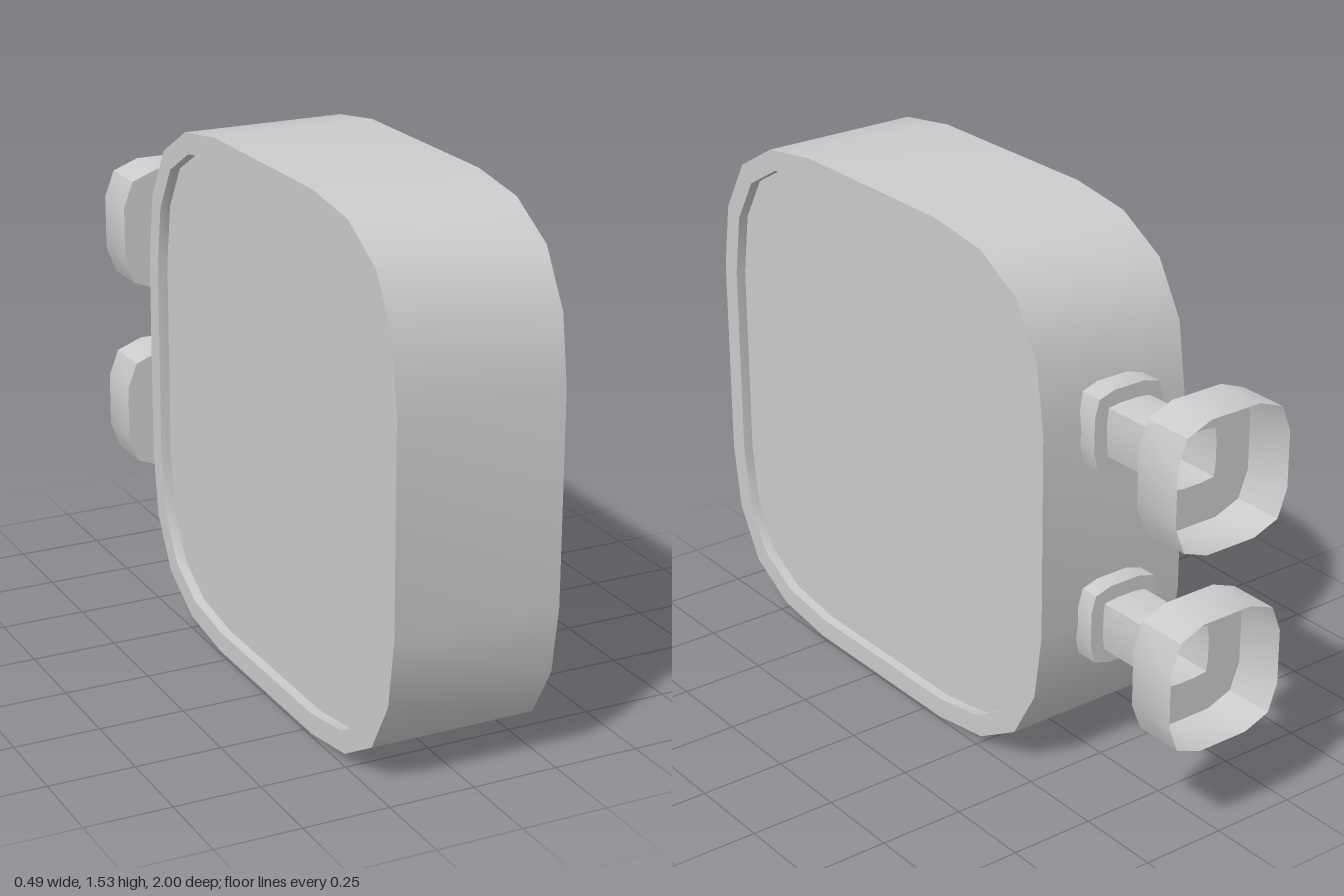
import * as THREE from 'three';
import { toCreasedNormals } from 'three/addons/utils/BufferGeometryUtils.js';

// Repeat one corner (counter-clockwise points) four times around the centre
function outline(corner) {
  const pts = [];
  for (let q = 0; q < 4; q++) {
    for (let [x, y] of corner) {
      for (let i = 0; i < q; i++) [x, y] = [-y, x];
      pts.push([x, y]);
    }
  }
  return pts;
}

// Soft square with slightly bowed sides: half width and corner position
const softSquare = (half, corner) =>
  outline([[half, half * 0.43], [corner, corner], [half * 0.43, half]]);

// Skin through a list of [outline, z] rings, optionally closed at both ends
function loft(rings, capped = false) {
  const n = rings[0][0].length;
  const pos = [], idx = [];
  for (const [pts, z] of rings) for (const [x, y] of pts) pos.push(x, y, z);
  for (let r = 0; r < rings.length - 1; r++) {
    for (let i = 0; i < n; i++) {
      const j = (i + 1) % n;
      const a = r * n + i, b = r * n + j, c = a + n, d = b + n;
      idx.push(a, b, d, a, d, c);
    }
  }
  if (capped) {
    const last = (rings.length - 1) * n;
    const c0 = pos.length / 3;
    pos.push(0, 0, rings[0][1], 0, 0, rings[rings.length - 1][1]);
    for (let i = 0; i < n; i++) {
      const j = (i + 1) % n;
      idx.push(c0, j, i, c0 + 1, last + i, last + j);
    }
  }
  const geo = new THREE.BufferGeometry();
  geo.setAttribute('position', new THREE.Float32BufferAttribute(pos, 3));
  geo.setIndex(idx);
  return toCreasedNormals(geo, THREE.MathUtils.degToRad(38));
}

export function createModel() {
  const model = new THREE.Group();
  const solid = new THREE.MeshStandardMaterial({ color: 0xcccccc });
  const thin = new THREE.MeshStandardMaterial({ color: 0xcccccc, side: THREE.DoubleSide });

  // Drum-like body lying on its side, with a shallow recessed panel on each face
  const outer = outline([[0.767, 0.3], [0.738, 0.497], [0.65, 0.65], [0.497, 0.738], [0.3, 0.767]]);
  const inner = outline([[0.707, 0.295], [0.68, 0.475], [0.605, 0.605], [0.475, 0.68], [0.295, 0.707]]);
  const w = 0.243, recess = 0.213;
  const body = new THREE.Mesh(loft([
    [inner, -recess], [inner, -w], [outer, -w],
    [outer, w], [inner, w], [inner, recess],
  ], true), solid);
  body.name = 'body';
  body.rotation.y = Math.PI / 2;
  body.position.set(0, 0.768, 0.234);
  model.add(body);

  // Two hollow stub pipes at the back: wall flange, stem, open cup
  const flangeRim = softSquare(0.117, 0.102);
  const stemRim = softSquare(0.075, 0.07);
  const cupRim = softSquare(0.19, 0.16);
  const parts = {
    flange: loft([[flangeRim, 0.515], [flangeRim, 0.59], [stemRim, 0.59]]),
    stem: loft([[stemRim, 0.525], [stemRim, 0.85]]),
    cup: loft([[stemRim, 0.85], [cupRim, 0.85], [cupRim, 1.0]]),
  };
  [['upperPipe', 1.053], ['lowerPipe', 0.472]].forEach(([name, y]) => {
    const pipe = new THREE.Group();
    pipe.name = name;
    for (const [part, geo] of Object.entries(parts)) {
      const mesh = new THREE.Mesh(geo, thin);
      mesh.name = part;
      pipe.add(mesh);
    }
    pipe.rotation.y = Math.PI;
    pipe.position.y = y;
    model.add(pipe);
  });

  return model;
}
